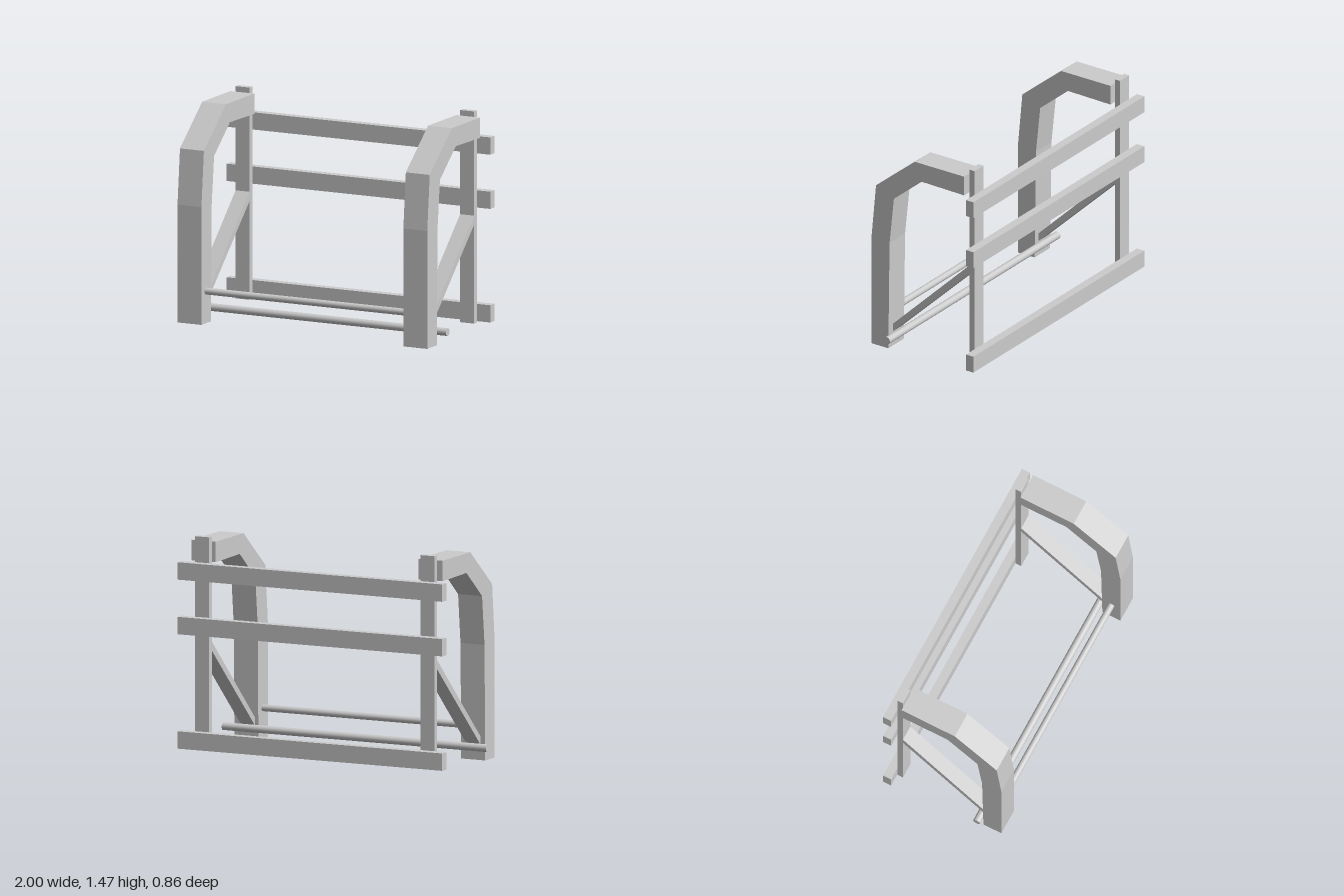
import * as THREE from 'three';

const material = new THREE.MeshStandardMaterial({ color: 0xcccccc });

function add(group, name, geometry, x, y, z) {
  const mesh = new THREE.Mesh(geometry, material);
  mesh.name = name;
  mesh.position.set(x, y, z);
  group.add(mesh);
}

// Side profile of [z, y] points, extruded along x and centred on x = 0
function sideExtrude(points, width) {
  const shape = new THREE.Shape(points.map(([z, y]) => new THREE.Vector2(z, y)));
  const geometry = new THREE.ExtrudeGeometry(shape, { depth: width, bevelEnabled: false });
  return geometry.translate(0, 0, -width / 2).rotateY(-Math.PI / 2);
}

// Round bar lying along x
function bar(radius, length) {
  return new THREE.CylinderGeometry(radius, radius, length, 24).rotateZ(Math.PI / 2);
}

export function createModel() {
  const model = new THREE.Group();
  model.name = 'rack';

  // Bent arms, rear posts and diagonal braces, one set per side
  const arm = sideExtrude([
    [0.43, 0], [0.43, 0.8], [0.395, 1.175], [0.08, 1.435], [-0.32, 1.435],
    [-0.32, 1.297], [0.025, 1.303], [0.25, 1.115], [0.285, 0.78], [0.295, 0],
  ], 0.18);
  const brace = sideExtrude([
    [0.295, 0.105], [0.295, 0.16], [-0.33, 0.765], [-0.33, 0.703],
  ], 0.105);
  const post = new THREE.BoxGeometry(0.105, 1.44, 0.042);
  for (const [side, armX, postX] of [['left', 0.845, 0.833], ['right', -0.855, -0.857]]) {
    const frame = new THREE.Group();
    frame.name = side + 'Frame';
    add(frame, 'arm', arm, armX, 0, 0);
    add(frame, 'post', post, postX, 0.75, -0.349);
    add(frame, 'brace', brace, postX, 0, 0);
    model.add(frame);
  }

  // Horizontal rails across the back
  const rail = new THREE.BoxGeometry(1.985, 0.117, 0.06);
  for (const y of [0.098, 0.869, 1.237]) add(model, 'rail', rail, -0.0075, y, -0.4);

  // Round bars: one behind the arms, one between them
  add(model, 'rearBar', bar(0.026, 1.98), 0.01, 0.09, 0.262);
  add(model, 'frontBar', bar(0.023, 1.56), -0.005, 0.218, 0.362);

  return model;
}
